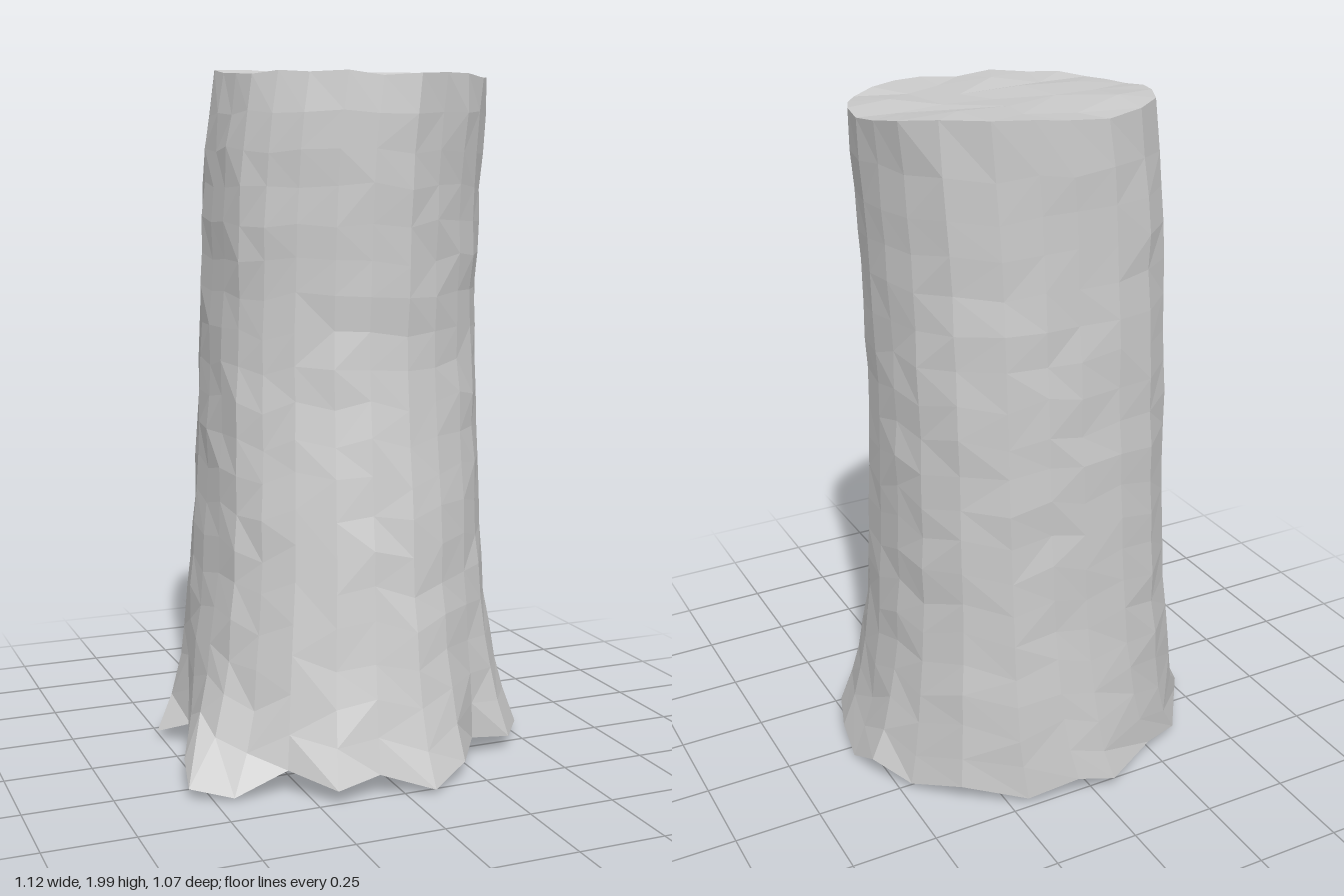
import * as THREE from 'three';

// Root outline at the ground, going from +x towards +z: x, z, height of the ragged edge
const ROOTS = [
  [0.556, -0.04, 0.0], [0.54, 0.08, 0.03], [0.5, 0.2, 0.04], [0.42, 0.31, 0.04], [0.29, 0.33, 0.06],
  [0.2, 0.465, 0.05], [0.08, 0.53, 0.01], [-0.07, 0.49, 0.06], [-0.2, 0.51, 0.04], [-0.3, 0.39, 0.07],
  [-0.45, 0.38, 0.01], [-0.56, 0.32, 0.03], [-0.53, 0.18, 0.06], [-0.48, 0.05, 0.03], [-0.44, -0.06, 0.07],
  [-0.51, -0.17, 0.02], [-0.44, -0.27, 0.06], [-0.36, -0.385, 0.02], [-0.22, -0.465, 0.06], [-0.06, -0.535, 0.03],
  [0.06, -0.535, 0.07], [0.2, -0.49, 0.02], [0.37, -0.4, 0.06], [0.47, -0.27, 0.02], [0.545, -0.16, 0.06],
];
const N = ROOTS.length;

// Trunk extents by height: y, xMin, xMax, zMin, zMax
const TRUNK = [
  [0, -0.44, 0.475, -0.51, 0.44], [0.3, -0.425, 0.465, -0.5, 0.42], [0.6, -0.395, 0.455, -0.49, 0.385],
  [1.0, -0.37, 0.46, -0.485, 0.32], [1.2, -0.36, 0.46, -0.48, 0.29], [1.6, -0.35, 0.465, -0.465, 0.295],
  [1.8, -0.34, 0.475, -0.46, 0.305], [1.94, -0.31, 0.487, -0.455, 0.29],
];
const ROWS = 19;
const TOP = 1.94;

// Fullness of the four diagonal quarters of the trunk, from +x+z towards -x+z
const QUARTERS = [-0.01, 0.008, 0.03, 0.024];

// Cut surface rings: scale about the middle, and how many rim points share one ring point
const RINGS = [[1, 1], [0.7, 2], [0.36, 5], [0, N]];

// Repeatable noise in -1..1
function noise(i, j) {
  const s = Math.sin(i * 127.1 + j * 311.7) * 43758.5453;
  return (s - Math.floor(s)) * 2 - 1;
}

function extentsAt(y) {
  let k = 0;
  while (k < TRUNK.length - 2 && y > TRUNK[k + 1][0]) k++;
  const a = TRUNK[k], b = TRUNK[k + 1];
  const t = THREE.MathUtils.clamp((y - a[0]) / (b[0] - a[0]), 0, 1);
  return a.map((v, n) => v + (b[n] - v) * t);
}

// Uneven cut surface, rising to the back with two raised spots on the rim
function topHeight(x, z) {
  const bump = (cx, cz) => Math.exp(-((x - cx) ** 2 + (z - cz) ** 2) / 0.02);
  return 1.951 - 0.035 * z + 0.038 * bump(0.3, -0.36) + 0.02 * bump(-0.25, -0.27);
}

// A point of the trunk wall: an oval that flares into the root outline near the ground
function wallPoint(i, j) {
  const [rx, rz, ry] = ROOTS[i];
  let y = ry + (TOP - ry) * (j / ROWS);
  const [, x0, x1, z0, z1] = extentsAt(y);
  const even = (i / N) * Math.PI * 2;
  const turn = Math.atan2(rz, rx) - even;
  const angle = even + 0.5 * Math.atan2(Math.sin(turn), Math.cos(turn));
  const quarter = Math.floor(angle / (Math.PI / 2) + 4) % 4;
  const bulge = QUARTERS[quarter] * Math.sin(2 * angle) ** 2;
  const rough = bulge + 0.005 * noise(i, j) + 0.006 * noise(i, 99);
  const ox = (x0 + x1) / 2 + ((x1 - x0) / 2 + rough) * Math.cos(angle);
  const oz = (z0 + z1) / 2 + ((z1 - z0) / 2 + rough) * Math.sin(angle);
  // Long root tips rise more steeply than the rest
  const reach = Math.hypot(rx - ox, rz - oz);
  const spread = Math.max(0.09, 0.24 - 0.8 * reach);
  const flare = j === 0 ? 1 : Math.exp(-(y - ry) / spread);
  const x = ox + (rx - ox) * flare, z = oz + (rz - oz) * flare;
  if (j === ROWS) y = topHeight(x, z) + 0.008 * noise(i, 7);
  else if (j > 0) y += 0.01 * noise(i, j + 50);
  return [x, Math.min(y, 2), z];
}

// Cut surface rings shrinking to the middle of the rim
function capPoint(i, j) {
  const p = wallPoint(i, ROWS);
  if (j === 0) return p;
  const s = RINGS[j][0] * (1 + 0.1 * noise(i, j + 30));
  const x = 0.09 + (p[0] - 0.09) * s, z = -0.08 + (p[2] + 0.08) * s;
  return [x, topHeight(x, z) + 0.008 * noise(i, j + 20), z];
}

// Closed loops of points joined by triangles; share(j) merges neighbouring points of a loop
function loft(name, rows, pointAt, share, material) {
  const pos = [], index = [];
  const id = (i, j) => j * N + (i % N) - ((i % N) % share(j));
  const triangle = (a, b, c) => {
    if (a !== b && b !== c && c !== a) index.push(a, b, c);
  };
  for (let j = 0; j <= rows; j++) for (let i = 0; i < N; i++) pos.push(...pointAt(i, j));
  for (let j = 0; j < rows; j++) {
    for (let i = 0; i < N; i++) {
      const a = id(i, j), b = id(i + 1, j), c = id(i, j + 1), d = id(i + 1, j + 1);
      if (j % 2) {
        triangle(a, c, b);
        triangle(b, c, d);
      } else {
        triangle(a, c, d);
        triangle(a, d, b);
      }
    }
  }
  const geometry = new THREE.BufferGeometry();
  geometry.setAttribute('position', new THREE.Float32BufferAttribute(pos, 3));
  geometry.setIndex(index);
  geometry.computeVertexNormals();
  const mesh = new THREE.Mesh(geometry, material);
  mesh.name = name;
  return mesh;
}

export function createModel() {
  const group = new THREE.Group();
  group.name = 'treeStump';
  const material = new THREE.MeshStandardMaterial({ color: 0xcccccc, flatShading: true, side: THREE.DoubleSide });
  // Hollow trunk, open at the ground
  group.add(loft('trunk', ROWS, wallPoint, () => 1, material));
  group.add(loft('cutTop', RINGS.length - 1, capPoint, (j) => RINGS[j][1], material));
  return group;
}
